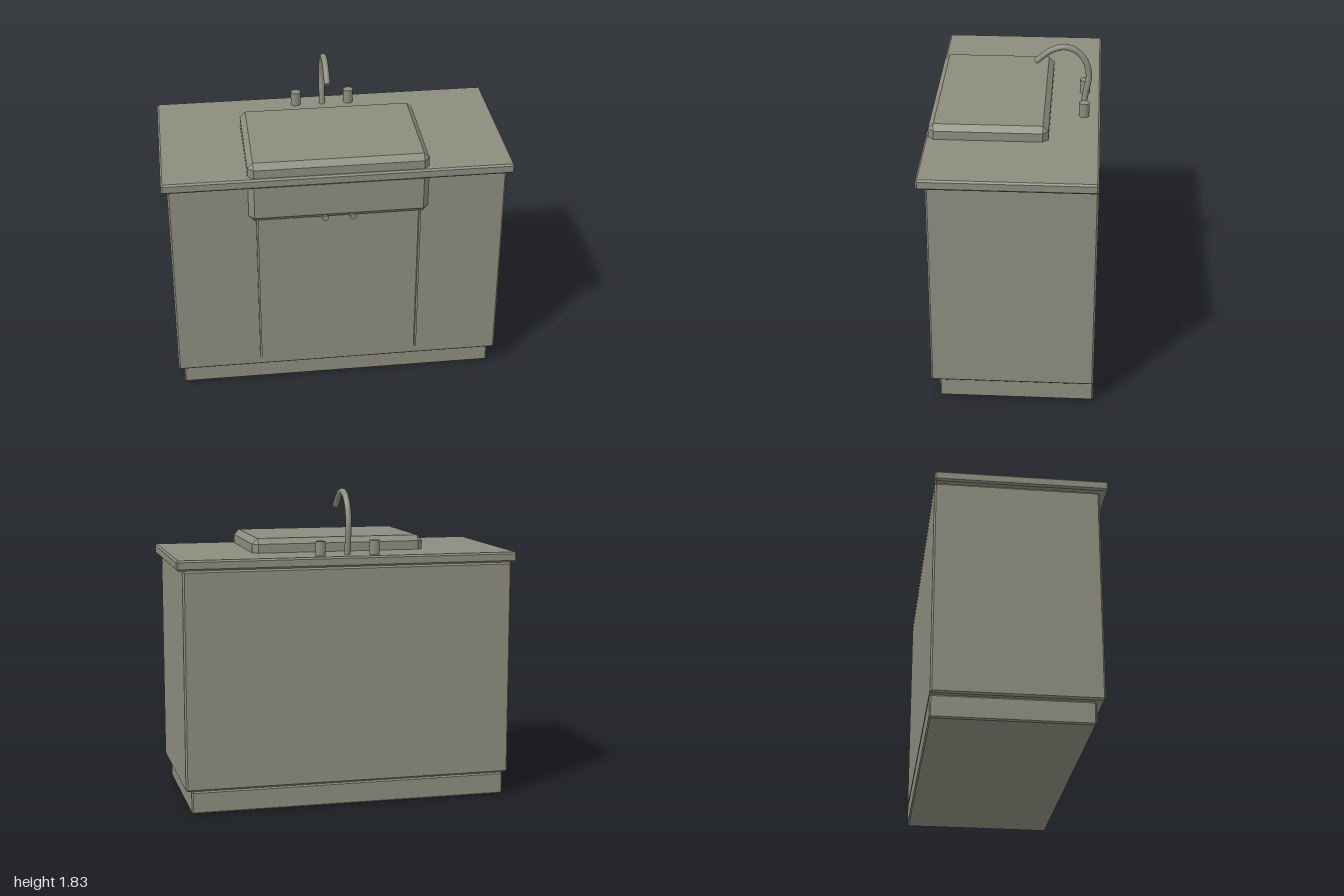
import * as THREE from 'three';
import { ConvexGeometry } from 'three/addons/geometries/ConvexGeometry.js';

// Box between two corners with every edge chamfered by b
function chamferBox([x0, y0, z0], [x1, y1, z1], b) {
  const half = [(x1 - x0) / 2, (y1 - y0) / 2, (z1 - z0) / 2];
  const points = [];
  for (const sx of [-1, 1]) for (const sy of [-1, 1]) for (const sz of [-1, 1]) {
    for (let axis = 0; axis < 3; axis++) {
      const [hx, hy, hz] = half.map((h, i) => (i === axis ? h : h - b));
      points.push(new THREE.Vector3(sx * hx, sy * hy, sz * hz));
    }
  }
  return new ConvexGeometry(points).translate((x0 + x1) / 2, (y0 + y1) / 2, (z0 + z1) / 2);
}

export function createModel() {
  const model = new THREE.Group();
  model.name = 'sinkCabinet';
  const stone = new THREE.MeshStandardMaterial({ color: 0x8c8c7e });
  stone.name = 'warm grey';

  const add = (name, geometry, x = 0, y = 0, z = 0) => {
    const mesh = new THREE.Mesh(geometry, stone);
    mesh.name = name;
    mesh.position.set(x, y, z);
    model.add(mesh);
    return mesh;
  };

  // Carcass
  add('toeKick', chamferBox([-0.935, 0, -0.49], [0.935, 0.13, 0.395], 0.008));
  add('cabinet', chamferBox([-0.967, 0.13, -0.49], [0.967, 1.393, 0.442], 0.01));
  add('countertop', chamferBox([-1, 1.393, -0.49], [1, 1.452, 0.49], 0.01));

  // Apron sink passing through the countertop
  add('sink', chamferBox([-0.515, 1.16, -0.202], [0.515, 1.535, 0.475], 0.032));

  // Raised door edges, door knobs and tap handles in mirrored pairs
  for (const [side, s] of [['right', -1], ['left', 1]]) {
    add(side + 'DoorEdge', new THREE.BoxGeometry(0.012, 0.98, 0.03), s * 0.468, 0.69, 0.446);
    add(side + 'DoorKnob', new THREE.CylinderGeometry(0.018, 0.018, 0.05, 16), s * 0.08, 1.165, 0.453)
      .rotation.x = Math.PI / 2;
    add(side + 'TapHandle', new THREE.CylinderGeometry(0.03, 0.03, 0.085, 16), s * 0.16, 1.491, -0.395);
  }

  // Gooseneck spout
  const path = new THREE.CatmullRomCurve3([
    [1.44, -0.388], [1.53, -0.402], [1.635, -0.417], [1.73, -0.392],
    [1.79, -0.335], [1.808, -0.27], [1.785, -0.195], [1.715, -0.108],
  ].map(([y, z]) => new THREE.Vector3(0, y, z)));
  add('spout', new THREE.TubeGeometry(path, 32, 0.018, 12));
  const tip = add('spoutTip', new THREE.CircleGeometry(0.018, 12), 0, 1.715, -0.108);
  tip.quaternion.setFromUnitVectors(new THREE.Vector3(0, 0, 1), path.getTangent(1));

  return model;
}
